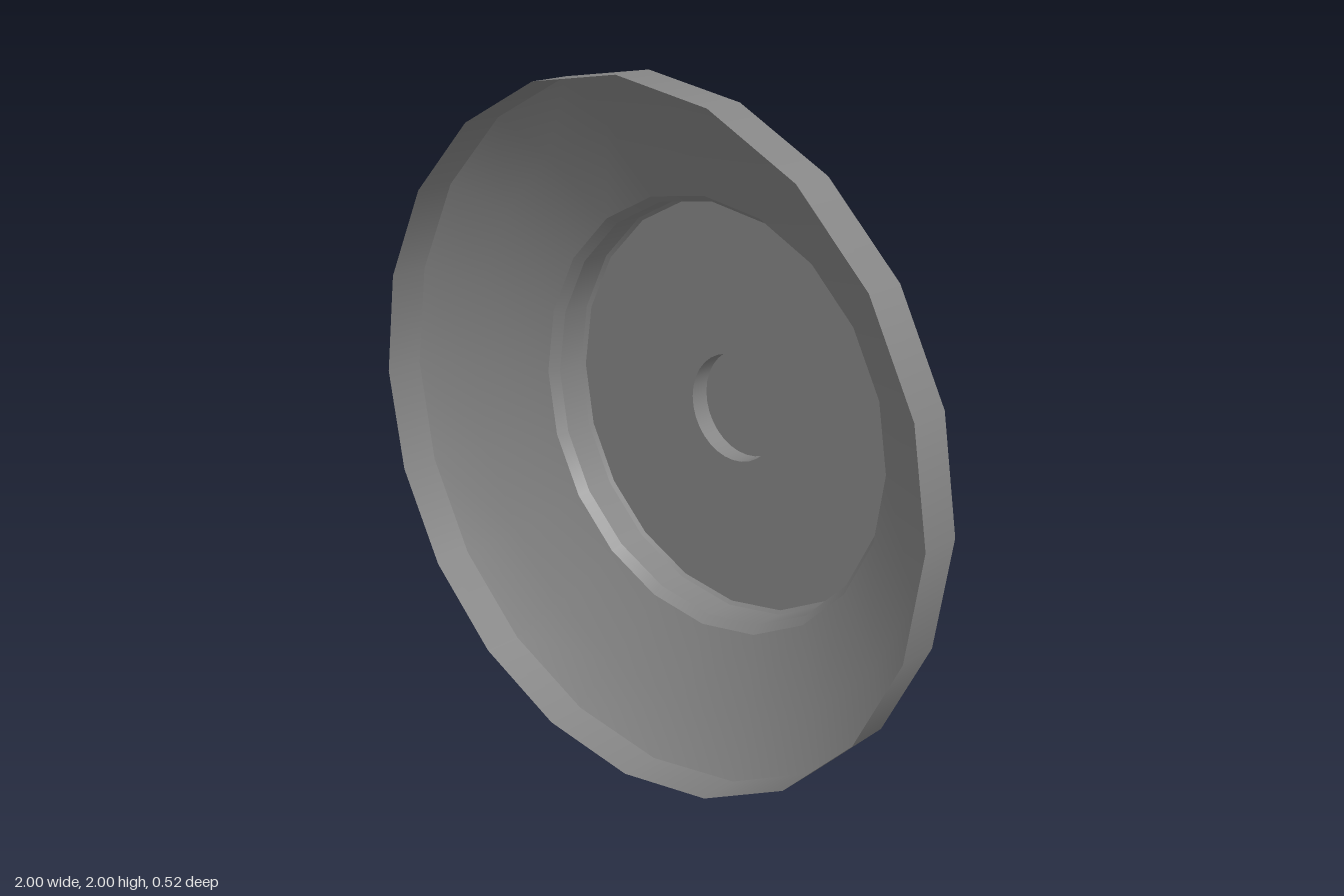
import * as THREE from 'three';

const SIDES = 20, CUP_SIDES = 32;
const CUP_R = 0.16, BACK_Z = -0.2, CUP_Z = -0.26;

export function createModel() {
  const model = new THREE.Group();
  const material = new THREE.MeshStandardMaterial({ color: 0x858585, side: THREE.DoubleSide });

  function add(name, geometry) {
    const mesh = new THREE.Mesh(geometry, material);
    mesh.name = name;
    mesh.position.y = 1;
    model.add(mesh);
  }

  // Open surface of revolution around z; profile is [radius, z] from back to front
  function ring(name, profile, sides = SIDES) {
    const points = profile.map(([r, z]) => new THREE.Vector2(r, z));
    add(name, new THREE.LatheGeometry(points, sides).rotateX(Math.PI / 2));
  }

  function circlePoints(radius, sides) {
    return Array.from({ length: sides }, (_, i) => {
      const a = (i / sides) * Math.PI * 2;
      return new THREE.Vector2(radius * Math.cos(a), radius * Math.sin(a));
    });
  }

  // Thin dish shell, split where its shading breaks
  ring('rimBand', [[1, 0.14], [1, 0.26]]);
  ring('flaredBowl', [[0.64, -0.07], [0.86, 0.03], [1, 0.14]]);
  ring('neckFillet', [[0.62, -0.1], [0.64, -0.07]]);
  ring('neckWall', [[0.62, -0.19], [0.62, -0.1]]);
  ring('backBevel', [[0.61, BACK_Z], [0.62, -0.19]]);

  // Flat back plate with a round opening
  const plate = new THREE.Shape(circlePoints(0.61, SIDES));
  plate.holes.push(new THREE.Path(circlePoints(CUP_R, CUP_SIDES)));
  add('backPlate', new THREE.ShapeGeometry(plate).rotateY(Math.PI).translate(0, 0, BACK_Z));

  // Small hollow cup standing out of the back
  ring('cupWall', [[CUP_R, CUP_Z], [CUP_R, BACK_Z]], CUP_SIDES);
  add('cupFloor', new THREE.CircleGeometry(CUP_R, CUP_SIDES).rotateY(Math.PI).translate(0, 0, CUP_Z));

  return model;
}
